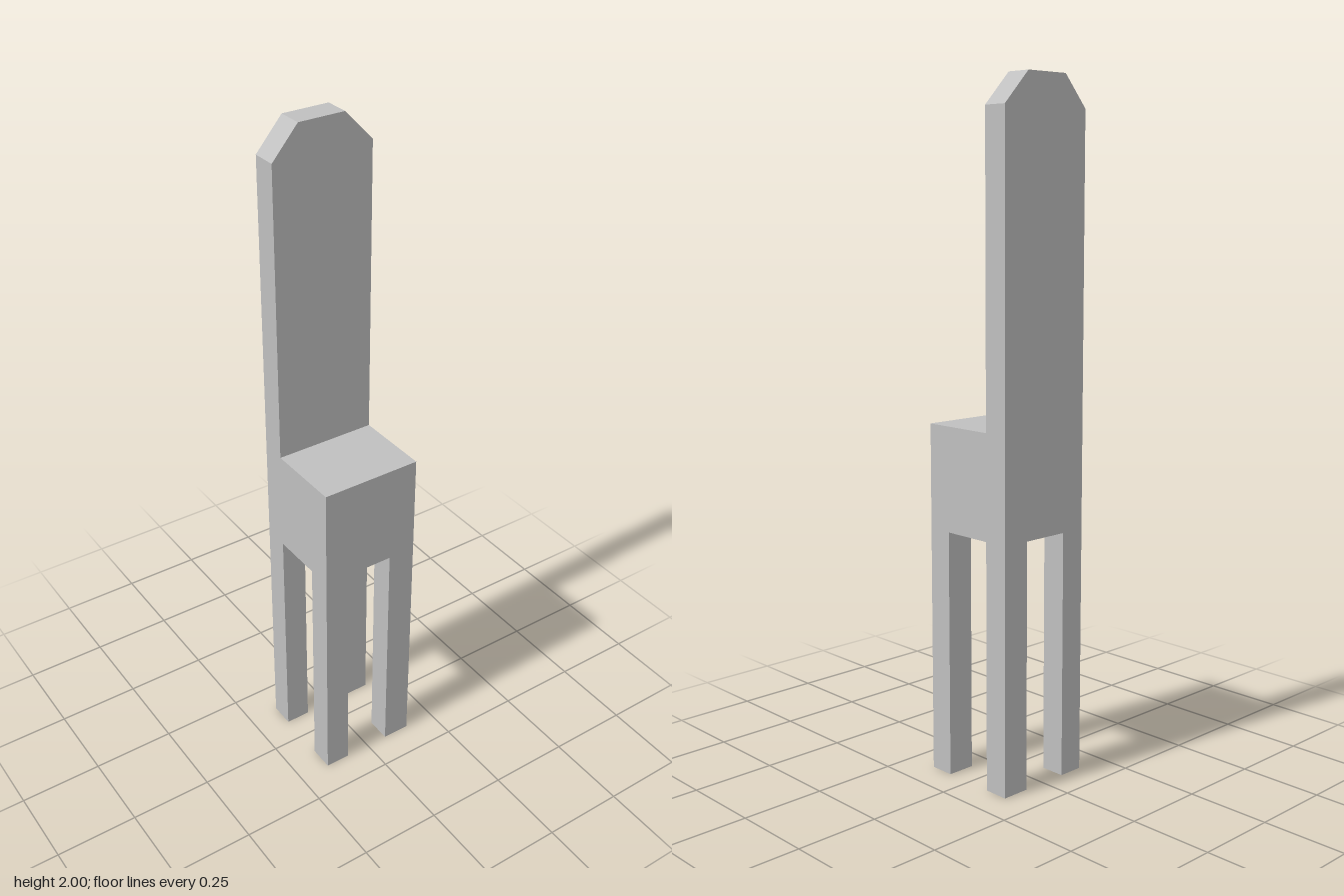
import * as THREE from 'three';

const LEG_TOP = 0.73, SEAT_TOP = 1.036;
const X0 = -0.153, X1 = 0.153, Z0 = -0.153, Z1 = 0.153;
const BACK_FRONT = -0.078; // front face of the backrest

export function createModel() {
  const group = new THREE.Group();
  const grey = new THREE.MeshStandardMaterial({ color: 0xbfbfbf });
  grey.name = 'grey';

  const add = (name, geometry) => {
    const mesh = new THREE.Mesh(geometry, grey);
    mesh.name = name;
    group.add(mesh);
    return mesh;
  };

  // Box given by its minimum and maximum on each axis
  const addBox = (name, x0, x1, y0, y1, z0, z1) => {
    const mesh = add(name, new THREE.BoxGeometry(x1 - x0, y1 - y0, z1 - z0));
    mesh.position.set((x0 + x1) / 2, (y0 + y1) / 2, (z0 + z1) / 2);
  };

  // Four square legs at the corners
  for (const [side, x0, x1] of [['Right', X0, -0.077], ['Left', 0.068, X1]]) {
    for (const [end, z0, z1] of [['front', 0.078, Z1], ['back', Z0, BACK_FRONT]]) {
      addBox(`${end}${side}Leg`, x0, x1, 0, LEG_TOP, z0, z1);
    }
  }

  // Thick seat block in front of the backrest
  addBox('seat', X0, X1, LEG_TOP, SEAT_TOP, BACK_FRONT, Z1);

  // Tall backrest with clipped top corners, rising from the back legs
  const outline = new THREE.Shape([
    [X0, LEG_TOP], [X1, LEG_TOP], [X1, 1.91],
    [0.067, 2], [-0.074, 2], [X0, 1.91],
  ].map(([x, y]) => new THREE.Vector2(x, y)));
  const back = add('backrest', new THREE.ExtrudeGeometry(outline, {
    depth: BACK_FRONT - Z0, bevelEnabled: false,
  }));
  back.position.z = Z0;

  return group;
}
